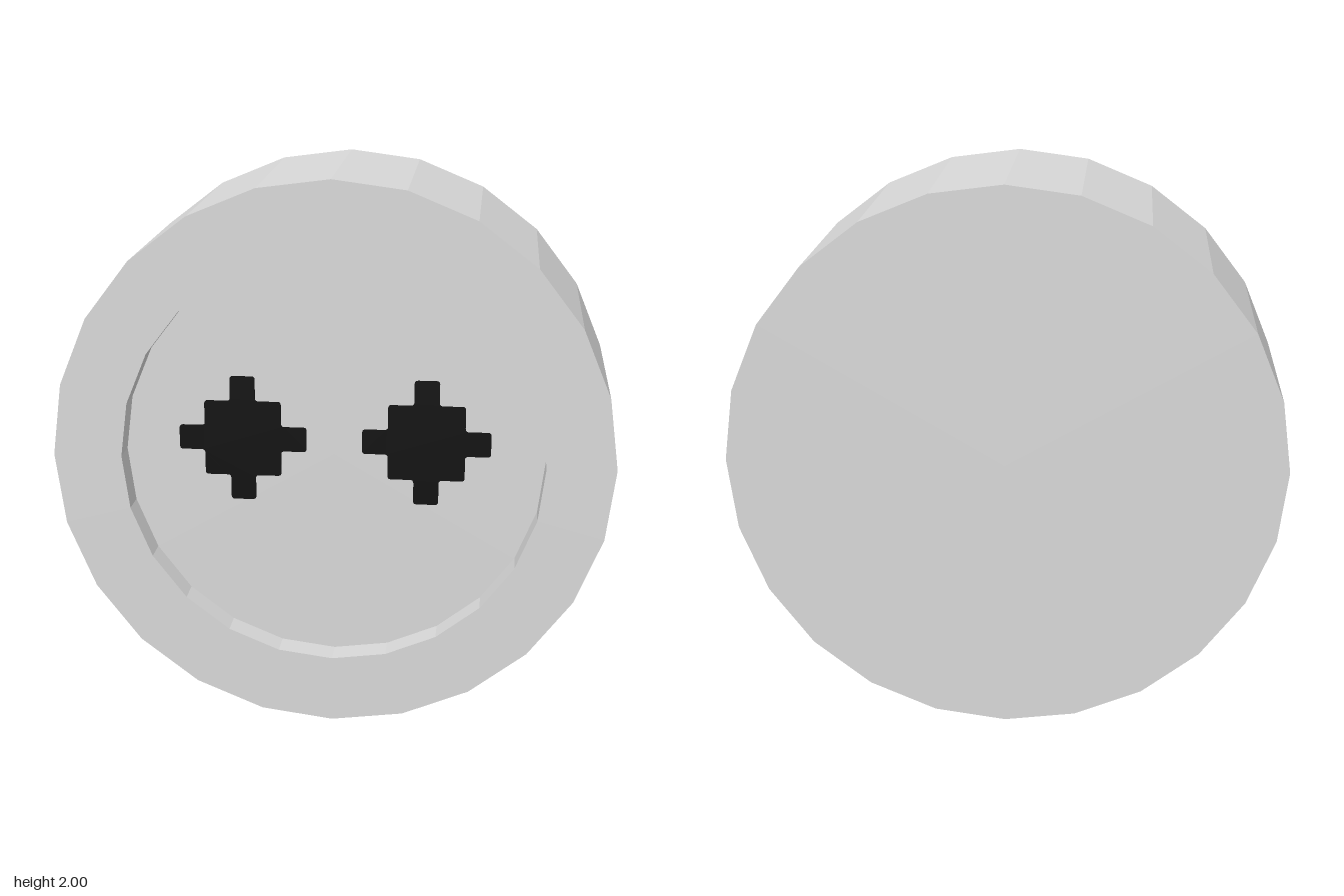
import * as THREE from 'three';

const RADIUS = 1, HALF_DEPTH = 0.385, INNER = 0.755, FLOOR_Z = 0.285;

// Thick 24-sided disc with a shallow round recess in its front
function makeDisc() {
  const profile = [
    [0, -HALF_DEPTH], [RADIUS, -HALF_DEPTH], [RADIUS, HALF_DEPTH],
    [INNER, HALF_DEPTH], [INNER, FLOOR_Z], [0, FLOOR_Z],
  ].map(([r, y]) => new THREE.Vector2(r, y));
  return new THREE.LatheGeometry(profile, 24).rotateX(Math.PI / 2);
}

// Stepped cross: one quarter of the outline turned four times, corners softened
function makeEyeShape() {
  const quarter = [[0.23, 0.045], [0.138, 0.045], [0.138, 0.138], [0.045, 0.138], [0.045, 0.23]];
  const corners = [];
  for (let i = 0; i < 4; i++) {
    for (const [x, y] of quarter) {
      corners.push(new THREE.Vector2(x, y).rotateAround(new THREE.Vector2(), i * Math.PI / 2));
    }
  }
  const shape = new THREE.Shape();
  const n = corners.length, soft = 0.012;
  corners.forEach((c, i) => {
    const toward = (p) => c.clone().add(p.clone().sub(c).setLength(soft));
    const a = toward(corners[(i + n - 1) % n]);
    const b = toward(corners[(i + 1) % n]);
    if (i === 0) shape.moveTo(a.x, a.y);
    else shape.lineTo(a.x, a.y);
    shape.quadraticCurveTo(c.x, c.y, b.x, b.y);
  });
  shape.closePath();
  return shape;
}

export function createModel() {
  const bodyGrey = new THREE.MeshStandardMaterial({ color: 0xd8d8d8, flatShading: true });
  bodyGrey.name = 'light grey';
  const eyeBlack = new THREE.MeshStandardMaterial({ color: 0x0c0c0c });
  eyeBlack.name = 'black';

  const group = new THREE.Group();
  group.name = 'roundFace';

  const disc = new THREE.Mesh(makeDisc(), bodyGrey);
  disc.name = 'disc';
  disc.position.y = RADIUS;
  group.add(disc);

  // Thin eyes lying on the recess floor
  const eyeGeometry = new THREE.ExtrudeGeometry(makeEyeShape(), {
    depth: 0.006, bevelEnabled: false, curveSegments: 4,
  });
  for (const [name, side] of [['leftEye', 1], ['rightEye', -1]]) {
    const eye = new THREE.Mesh(eyeGeometry, eyeBlack);
    eye.name = name;
    eye.position.set(side * 0.33, 1.05, FLOOR_Z);
    group.add(eye);
  }
  return group;
}
